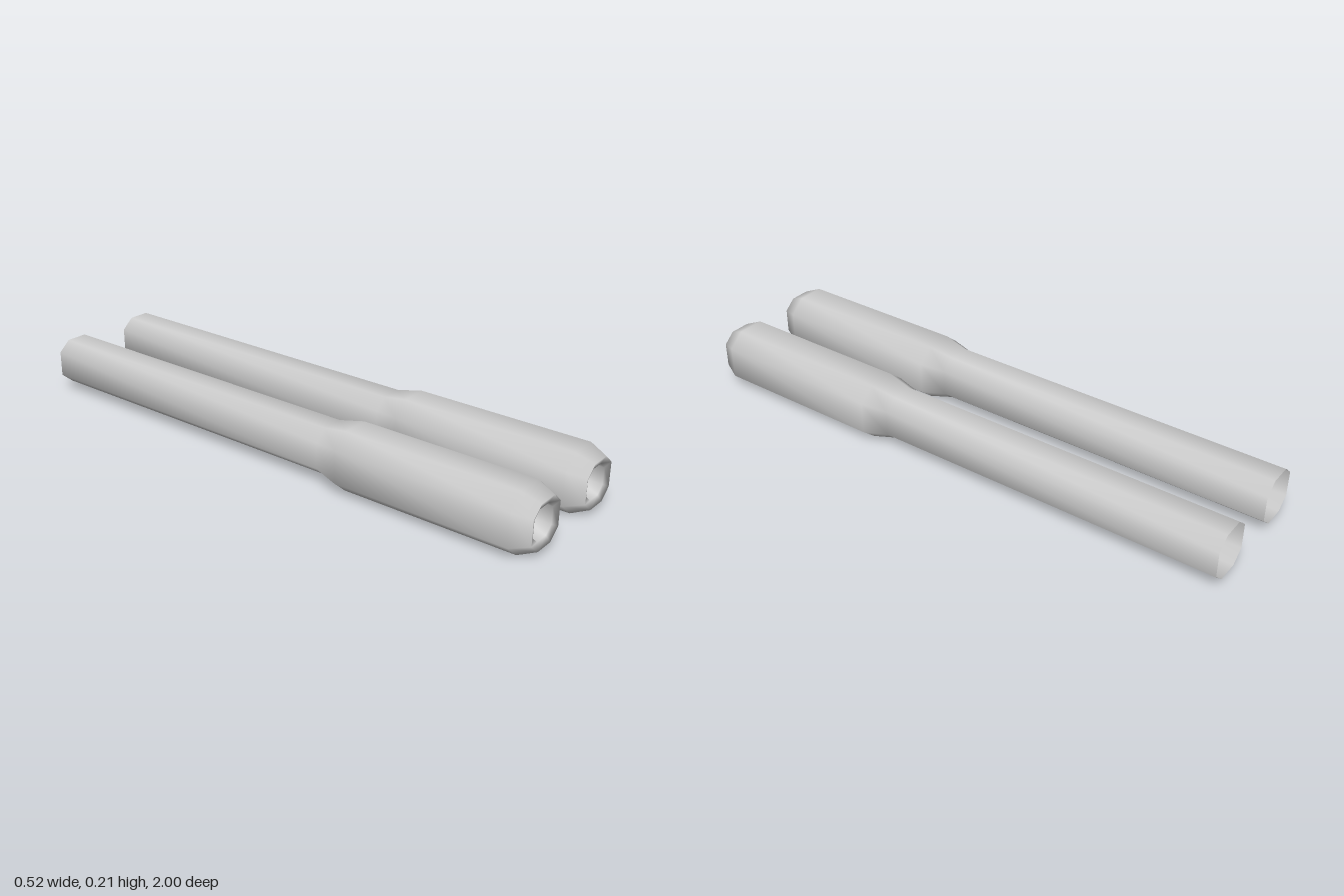
import * as THREE from 'three';

// Octagon corners of unit half-width, counter-clockwise seen from the front
const A = 0.47, B = 0.55;
const OCTAGON = [[1, -B], [1, B], [A, 1], [-A, 1], [-1, B], [-1, -B], [-A, -1], [A, -1]];

// Cross-sections from the open back to the bore floor: [z, half-width, centre height]
const SECTIONS = [
  [-1, 0.082, 0.107],
  [0.23, 0.082, 0.107],
  [0.32, 0.103, 0.104],
  [0.94, 0.103, 0.104],
  [1, 0.077, 0.105],
  [0.99, 0.053, 0.105],
  [0.88, 0.053, 0.105],
];

// Lofts the sections into one smooth skin, closed only at the bore floor
function barrelGeometry() {
  const positions = [], index = [];
  for (const [z, r, cy] of SECTIONS) {
    for (const [x, y] of OCTAGON) positions.push(x * r, cy + y * r, z);
  }
  const n = OCTAGON.length, last = (SECTIONS.length - 1) * n, centre = last + n;
  const [zEnd, , yEnd] = SECTIONS[SECTIONS.length - 1];
  positions.push(0, yEnd, zEnd);

  for (let j = 0; j < n; j++) {
    const k = (j + 1) % n;
    for (let s = 0; s < last; s += n) {
      index.push(s + j, s + k, s + n + k, s + j, s + n + k, s + n + j);
    }
    index.push(last + j, last + k, centre);
  }
  const geometry = new THREE.BufferGeometry();
  geometry.setAttribute('position', new THREE.Float32BufferAttribute(positions, 3));
  geometry.setIndex(index);
  geometry.computeVertexNormals();
  return geometry;
}

export function createModel() {
  const model = new THREE.Group();
  model.name = 'twinBarrels';
  const material = new THREE.MeshStandardMaterial({ color: 0xcccccc, side: THREE.DoubleSide });
  const geometry = barrelGeometry();

  // Two identical barrels side by side
  for (const [name, x] of [['leftBarrel', 0.159], ['rightBarrel', -0.159]]) {
    const barrel = new THREE.Mesh(geometry, material);
    barrel.name = name;
    barrel.position.x = x;
    model.add(barrel);
  }
  return model;
}
